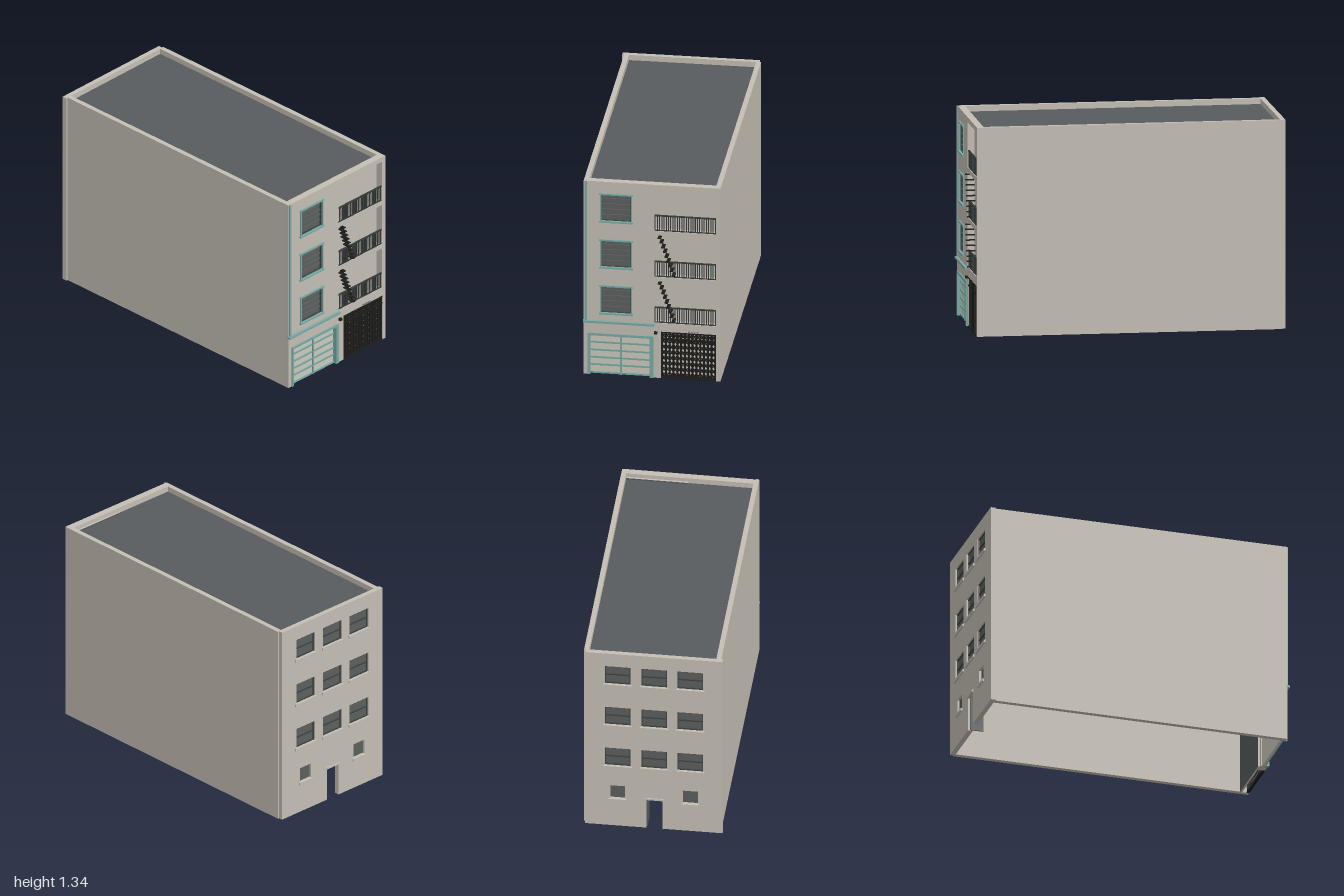
import * as THREE from 'three';

const mat = (name, color) => Object.assign(new THREE.MeshStandardMaterial({ color }), { name });
const M = {
  wall: mat('warm stone', 0xc4beb4),
  teal: mat('teal trim', 0x7aaaa5),
  slate: mat('slate', 0x575c5e),
  glass: mat('dark glass', 0x5b5f5e),
  frame: mat('window frame', 0x3d4241),
  iron: mat('black iron', 0x1d1d1b),
  rail: mat('railing', 0x363b3a),
  panel: mat('door panel', 0xcdcabd),
  grey: mat('grey plate', 0x807d77),
};

// Box given by its limits
function box(parent, name, material, x0, x1, y0, y1, z0, z1) {
  const mesh = new THREE.Mesh(new THREE.BoxGeometry(x1 - x0, y1 - y0, z1 - z0), material);
  mesh.position.set((x0 + x1) / 2, (y0 + y1) / 2, (z0 + z1) / 2);
  mesh.name = name;
  parent.add(mesh);
  return mesh;
}

// Wall with rectangular openings [x0, x1, y0, y1]; openings at y0 = 0 are notches
function wall(parent, name, x0, x1, h, z, depth, openings) {
  const shape = new THREE.Shape();
  shape.moveTo(x0, 0);
  openings.filter(o => o[2] === 0).sort((a, b) => a[0] - b[0]).forEach(([a, b, , t]) => {
    shape.lineTo(a, 0); shape.lineTo(a, t); shape.lineTo(b, t); shape.lineTo(b, 0);
  });
  shape.lineTo(x1, 0); shape.lineTo(x1, h); shape.lineTo(x0, h); shape.closePath();
  openings.filter(o => o[2] > 0).forEach(([a, b, c, d]) => {
    const hole = new THREE.Path();
    hole.moveTo(a, c); hole.lineTo(a, d); hole.lineTo(b, d); hole.lineTo(b, c); hole.closePath();
    shape.holes.push(hole);
  });
  const mesh = new THREE.Mesh(new THREE.ExtrudeGeometry(shape, { depth, bevelEnabled: false }), M.wall);
  mesh.position.z = z;
  mesh.name = name;
  parent.add(mesh);
}

// The plan is a slight parallelogram
function skew(mesh) {
  const { x, y, z } = mesh.position;
  const p = mesh.geometry.translate(x, y, z).attributes.position;
  mesh.position.set(0, 0, 0);
  for (let i = 0; i < p.count; i++) p.setX(i, p.getX(i) + 0.0117 * p.getZ(i));
  mesh.geometry.computeVertexNormals();
}

// Flat bar between two points in the xy plane
function bar(parent, name, ax, ay, bx, by, w, z) {
  const mesh = new THREE.Mesh(new THREE.BoxGeometry(Math.hypot(bx - ax, by - ay), w, 0.006), M.iron);
  mesh.position.set((ax + bx) / 2, (ay + by) / 2, z);
  mesh.rotation.z = Math.atan2(by - ay, bx - ax);
  mesh.name = name;
  parent.add(mesh);
}

const H = 1.336, F = 0.978, STOREY = 0.318;

function buildFront() {
  const g = new THREE.Group();
  g.name = 'front';
  const floors = [0, 1, 2].map(i => i * STOREY);
  wall(g, 'frontWall', -0.425, 0.4465, H, 0.932, F - 0.932, [
    [-0.39, 0.005, 0, 0.28], [0.07, 0.42, 0, 0.32],
    ...floors.map(y => [-0.315, -0.12, 0.43, 0.615].map((v, k) => (k > 1 ? v + y : v))),
    ...floors.map(y => [0.027, 0.418, 0.38 + y, 0.668 + y]),
  ]);
  // Back of the balconies and porch
  box(g, 'recessBack', [M.wall, M.wall, M.wall, M.wall, M.wall, M.slate], 0.02, 0.425, 0, 1.31, 0.918, 0.932);

  floors.forEach((y, floor) => {
    // Louvred window with trim
    const w = new THREE.Group();
    w.name = 'frontWindow';
    w.position.y = y;
    g.add(w);
    box(w, 'glass', M.glass, -0.315, -0.12, 0.43, 0.615, 0.945, 0.96);
    for (let i = 1; i < 5; i++) box(w, 'louvre', M.glass, -0.313, -0.122, 0.43 + i * 0.037, 0.434 + i * 0.037, 0.958, 0.968);
    for (const x of [-0.314, -0.124]) box(w, 'sash', M.frame, x - 0.001, x + 0.005, 0.43, 0.612, 0.958, 0.974);
    for (const yy of [0.43, 0.608]) box(w, 'sash', M.frame, -0.315, -0.12, yy, yy + 0.004, 0.958, 0.974);
    for (const x of [-0.318, -0.122]) box(w, 'jamb', M.teal, x, x + 0.006, 0.425, 0.616, 0.96, 0.986);
    box(w, 'head', M.teal, -0.324, -0.11, 0.611, 0.621, 0.962, 0.988);
    box(w, 'sill', M.teal, -0.324, -0.11, 0.421, 0.432, 0.962, 0.99);

    // Balcony railing
    const r = new THREE.Group();
    r.name = 'railing';
    r.position.y = y;
    g.add(r);
    box(r, 'topRail', M.rail, 0.027, 0.418, 0.481, 0.488, 0.963, 0.975);
    box(r, 'bottomRail', M.rail, 0.027, 0.418, 0.38, 0.385, 0.965, 0.973);
    for (let i = 0; i < 28; i++) {
      const x = 0.03 + i * 0.0142;
      box(r, 'baluster', M.rail, x - 0.0028, x + 0.0028, 0.382, 0.485, 0.966, 0.972);
    }

    // Open stair treads on the lower two balconies
    if (floor < 2) for (let i = 0; i < 9; i++) {
      const x = 0.149 - i * 0.011, ty = 0.4 + i * 0.0322 + y;
      box(g, 'stairTread', M.iron, x - 0.011, x + 0.011, ty - 0.003, ty + 0.003, 0.94, 0.998);
    }
  });

  // Teal pilaster strip and ledge
  box(g, 'cornerStrip', M.teal, -0.418, -0.404, 0.37, H, F - 0.005, 0.985);
  box(g, 'ledge', M.teal, -0.427, 0.026, 0.36, 0.374, F - 0.005, 0.995);

  // Garage door
  const d = new THREE.Group();
  d.name = 'garageDoor';
  g.add(d);
  box(d, 'panel', M.panel, -0.39, 0.005, 0, 0.28, 0.94, 0.958);
  [0.002, 0.057, 0.107, 0.158, 0.211, 0.262].forEach(y => box(d, 'crossRail', M.teal, -0.384, 0, y, y + 0.011, 0.955, 0.965));
  box(d, 'middleStile', M.teal, -0.193, -0.183, 0, 0.272, 0.955, 0.967);
  box(d, 'leftFrame', M.teal, -0.397, -0.382, 0, 0.286, 0.945, 0.986);
  box(d, 'rightFrame', M.teal, -0.002, 0.022, 0, 0.286, 0.945, 0.986);
  box(d, 'topFrame', M.teal, -0.382, -0.002, 0.27, 0.286, 0.945, 0.986);

  // Folding lattice gate
  const t = new THREE.Group();
  t.name = 'gate';
  g.add(t);
  const n = 14, x0 = 0.075, step = 0.34 / n;
  for (let i = 0; i <= n; i++) {
    const x = x0 + i * step;
    box(t, 'gateBar', M.iron, x - 0.0055, x + 0.0055, 0, 0.32, 0.966, 0.976);
    if (i < n) for (let k = 0; k < 8; k++) {
      const y = 0.004 + k * 0.0385;
      bar(t, 'lattice', x, y, x + step, y + 0.0385, 0.006, 0.964);
      bar(t, 'lattice', x, y + 0.0385, x + step, y, 0.006, 0.971);
    }
  }
  for (const y of [0, 0.264, 0.312]) box(t, 'gateRail', M.iron, 0.07, 0.42, y, y + 0.009, 0.962, 0.98);

  // Wall lamp and small plates over the gate
  box(g, 'wallLamp', M.iron, 0.026, 0.045, 0.306, 0.322, F - 0.003, 0.995);
  for (let i = 0; i < 4; i++) box(g, 'plate', M.grey, 0.242 + i * 0.018, 0.254 + i * 0.018, 0.321, 0.333, F - 0.002, F + 0.004);
  box(g, 'gateTrack', M.grey, 0.157, 0.193, 0.321, 0.326, F - 0.002, F + 0.004);
  return g;
}

function buildBack() {
  const g = new THREE.Group();
  g.name = 'back';
  g.rotation.y = 0.0095;
  const B = -0.988, cols = [-0.245, -0.014, 0.218];
  const big = [0, 1, 2].flatMap(i => cols.map(c => [c - 0.082, c + 0.082, 0.465 + i * STOREY, 0.602 + i * STOREY]));
  const small = [cols[0], cols[2]].map(c => [c - 0.048, c + 0.048, 0.21, 0.31]);
  wall(g, 'backWall', -0.45, 0.423, H, B, 0.032, [...big, ...small, [-0.068, 0.035, 0, 0.22]]);

  [...big, ...small].forEach(([a, b, c, d], i) => {
    box(g, 'backGlass', M.glass, a, b, c, d, B + 0.016, B + 0.026);
    box(g, 'backSill', M.wall, a - 0.01, b + 0.01, c - 0.018, c, B - 0.01, B + 0.016);
    if (i >= big.length) return;
    // Sash bars of the larger windows
    const m = (c + d) / 2;
    for (const y of [c, m - 0.004, d - 0.007]) box(g, 'sashRail', M.frame, a, b, y, y + 0.007, B + 0.009, B + 0.017);
    for (const x of [a, b - 0.006]) box(g, 'sashStile', M.frame, x, x + 0.006, c, d, B + 0.009, B + 0.017);
  });

  // Back doorway with its leaf swung inward
  box(g, 'doorHead', M.wall, -0.076, 0.043, 0.22, 0.232, B - 0.008, B + 0.01);
  box(g, 'doorLeaf', M.slate, 0.028, 0.035, 0.002, 0.219, B + 0.012, B + 0.1);
  return g;
}

export function createModel() {
  const model = new THREE.Group();
  model.name = 'townhouse';
  // Side walls and sunken roof
  for (const s of [-1, 1]) skew(box(model, 'sideWall', M.wall, s * 0.42 - 0.016, s * 0.42 + 0.016, 0, H, -0.965, 0.934));
  skew(box(model, 'roof', M.slate, -0.405, 0.405, 1.285, 1.3, -0.96, 0.933));
  model.add(buildFront(), buildBack());
  return model;
}
